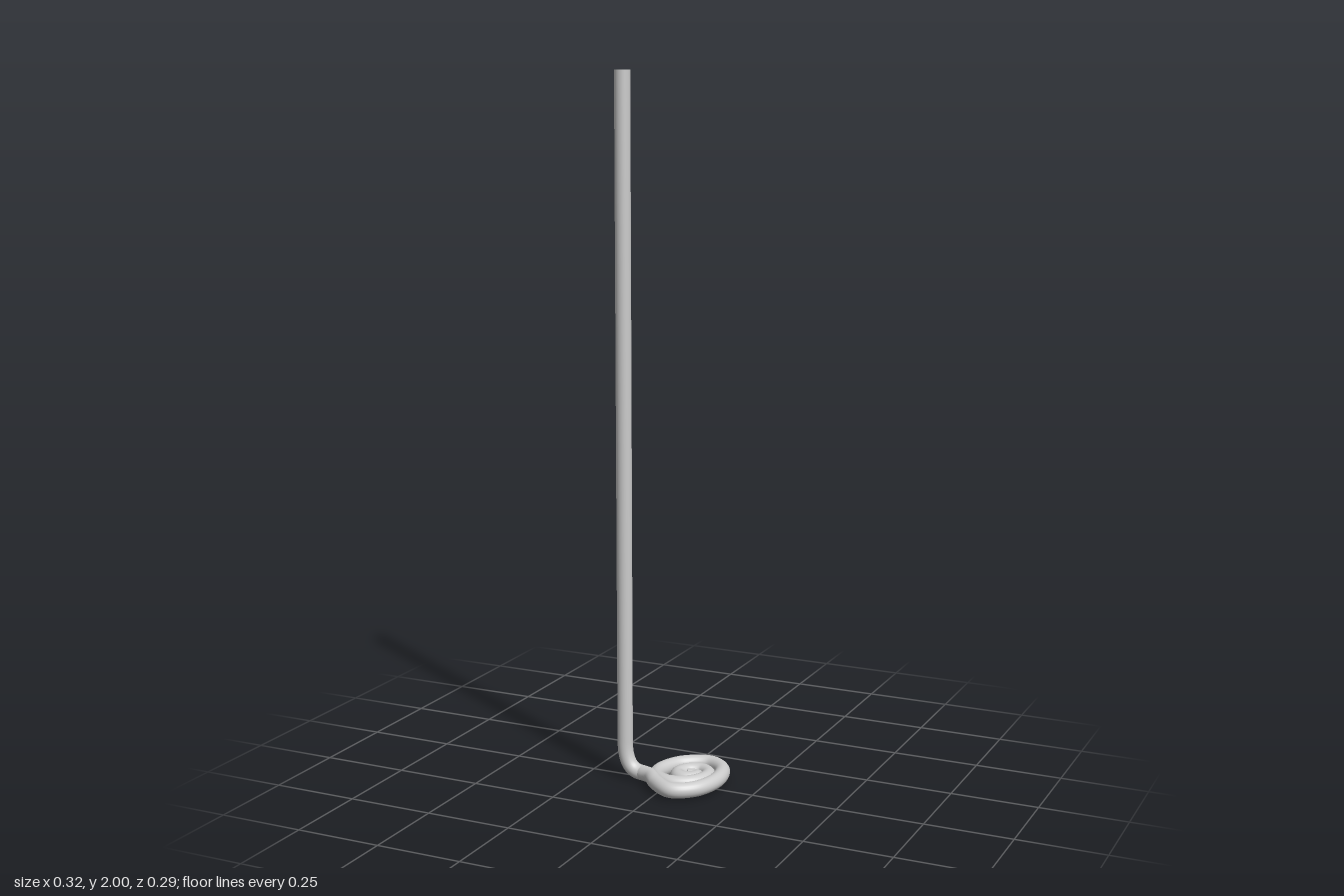
import * as THREE from 'three';

const RADIUS = 0.022;
const FLOOR = 0.022; // height of the wire's centre line at the bend
const COIL = 0.025; // height of the wire's centre line in the coil

export function createModel() {
  const group = new THREE.Group();
  const material = new THREE.MeshStandardMaterial({ color: 0xcccccc });
  const v = (x, y, z) => new THREE.Vector3(x, y, z);

  // Centre line of the flat coil (x, z), from the bend inwards
  const coil = [
    [-0.083, 0.022], [-0.045, 0.043], [-0.009, 0.084], [0.053, 0.121],
    [0.111, 0.083], [0.137, -0.004], [0.117, -0.09], [0.064, -0.125],
    [-0.011, -0.086], [-0.041, -0.005], [-0.022, 0.047], [0.025, 0.069],
    [0.08, 0.046], [0.104, 0.0], [0.098, -0.036], [0.07, -0.056],
    [0.034, -0.041], [0.019, -0.005], [0.029, 0.016], [0.05, 0.023],
    [0.072, 0.013], [0.078, -0.004], [0.067, -0.004], [0.052, 0.004],
  ].map(([x, z], i) => v(x, i === 0 ? FLOOR : COIL, z));

  // Straight rod, elbow and coil joined into one path
  const elbowTop = v(-0.137, 0.11, 0.022);
  const path = new THREE.CurvePath();
  path.add(new THREE.LineCurve3(v(-0.137, 2, 0.022), elbowTop));
  path.add(new THREE.QuadraticBezierCurve3(elbowTop, v(-0.137, FLOOR, 0.022), coil[0]));
  path.add(new THREE.CatmullRomCurve3(coil));
  path.arcLengthDivisions = 1000;

  const wire = new THREE.Mesh(new THREE.TubeGeometry(path, 450, RADIUS, 24), material);
  wire.name = 'bentWire';
  group.add(wire);

  // Flat discs closing both ends
  const addCap = (name, t, sign) => {
    const cap = new THREE.Mesh(new THREE.CircleGeometry(RADIUS, 24), material);
    const outward = path.getTangentAt(t).multiplyScalar(sign);
    cap.name = name;
    cap.position.copy(path.getPointAt(t));
    cap.quaternion.setFromUnitVectors(v(0, 0, 1), outward);
    group.add(cap);
  };
  addCap('topEnd', 0, -1);
  addCap('coilEnd', 1, 1);

  return group;
}
